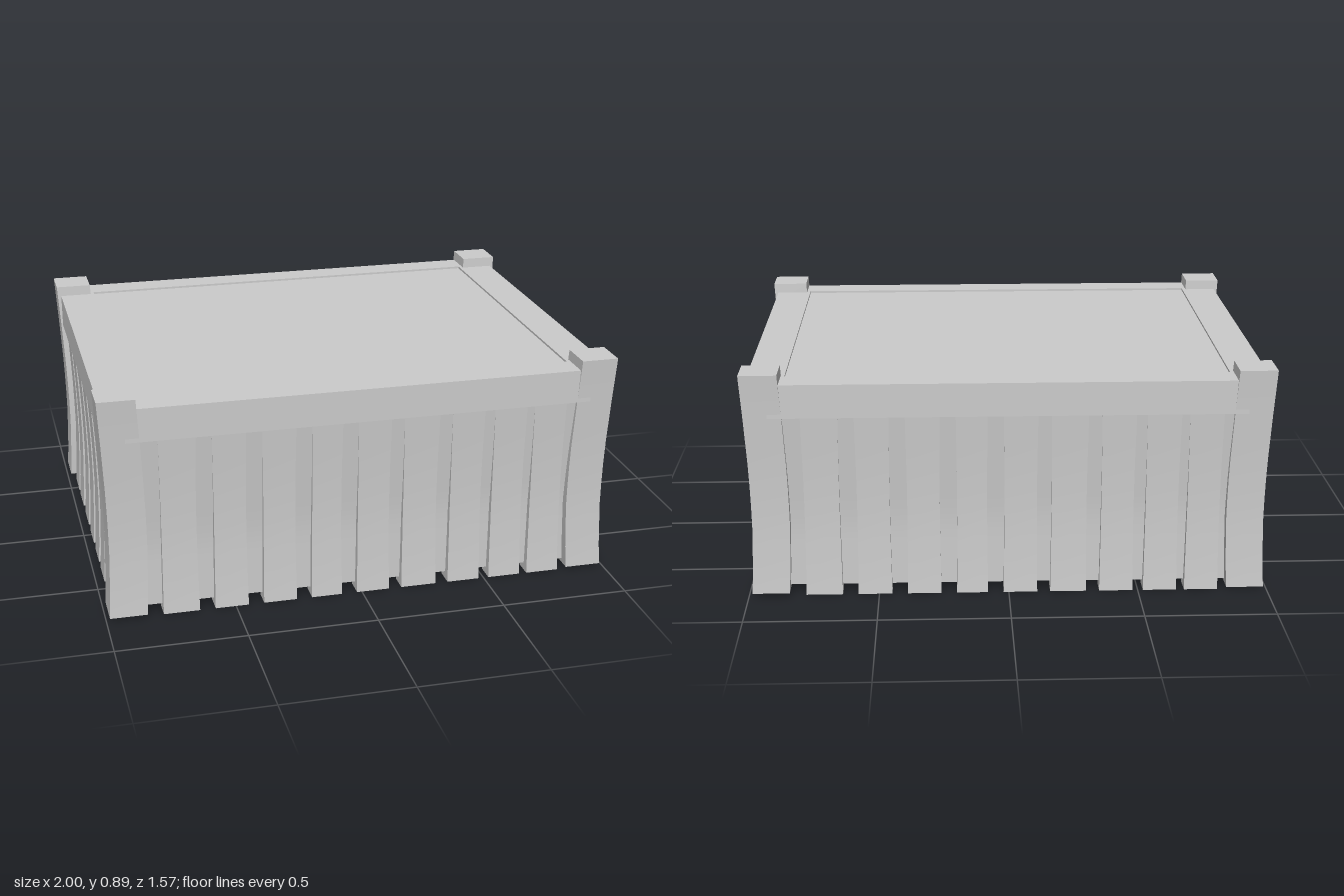
import * as THREE from 'three';

const material = new THREE.MeshStandardMaterial({ color: 0xcccccc });

// Inward bow of posts and planks as a function of height
const BOW = [[0, 0.013], [0.1, 0.019], [0.3, 0.025], [0.5, 0.021], [0.72, 0.01], [0.89, 0]];
function bow(y) {
  for (let i = 1; i < BOW.length; i++) {
    const [y0, b0] = BOW[i - 1], [y1, b1] = BOW[i];
    if (y <= y1) return b0 + (b1 - b0) * Math.max(0, (y - y0) / (y1 - y0));
  }
  return 0;
}

// Box between two corners, with its vertices moved by an optional rule
function block(name, min, max, rule, rows = 8) {
  const g = new THREE.BoxGeometry(max[0] - min[0], max[1] - min[1], max[2] - min[2], 1, rule ? rows : 1, 1);
  g.translate((min[0] + max[0]) / 2, (min[1] + max[1]) / 2, (min[2] + max[2]) / 2);
  if (rule) {
    const p = g.attributes.position, v = new THREE.Vector3();
    for (let i = 0; i < p.count; i++) {
      rule(v.fromBufferAttribute(p, i));
      p.setXYZ(i, v.x, v.y, v.z);
    }
    g.computeVertexNormals();
  }
  const mesh = new THREE.Mesh(g, material);
  mesh.name = name;
  return mesh;
}

// One wall facing +z: a row of bowed planks under a rim beam
function wall(name, planks, out, rimOut, rimIn, halfLength) {
  const group = new THREE.Group();
  group.name = name;
  for (const [a, b] of planks) {
    group.add(block('plank', [a, 0, out - 0.075], [b, 0.74, out], v => {
      const k = bow(v.y);
      v.z -= k;
      // slight sideways waist
      v.x += ((a + b) / 2 - v.x) * 0.05 * Math.sin(Math.PI * v.y / 0.74);
    }));
  }
  group.add(block('rimBeam', [-halfLength, 0.72, rimIn], [halfLength, 0.85, rimOut]));
  return group;
}

export function createModel() {
  const model = new THREE.Group();
  model.name = 'crate';

  // Inner body, flaring out to meet the planks near the top
  model.add(block('body', [-0.933, 0.03, -0.728], [0.933, 0.74, 0.728], v => {
    const flare = 0.037 * Math.max(0, (v.y - 0.3) / 0.42);
    v.x += Math.sign(v.x) * flare;
    v.z += Math.sign(v.z) * flare;
  }));

  // Lid panel set just below the rim
  model.add(block('lidPanel', [-0.85, 0.72, -0.68], [0.85, 0.842, 0.68]));

  // Plank walls; opposite walls are half-turn copies
  const longPlanks = [[-0.78, -0.64], [-0.58, -0.45], [-0.39, -0.26], [-0.2, -0.08], [-0.02, 0.11],
    [0.16, 0.3], [0.35, 0.48], [0.52, 0.65], [0.68, 0.81]];
  const shortPlanks = [[-0.6, -0.47], [-0.43, -0.3], [-0.23, -0.1], [-0.05, 0.08], [0.13, 0.26],
    [0.31, 0.44], [0.48, 0.6]];
  for (const turn of [0, 1]) {
    const long = wall(turn ? 'backWall' : 'frontWall', longPlanks, 0.775, 0.778, 0.668, 0.9);
    long.rotation.y = turn * Math.PI;
    const short = wall(turn ? 'leftWall' : 'rightWall', shortPlanks, 0.98, 0.983, 0.84, 0.7);
    short.name = turn ? 'rightWall' : 'leftWall';
    short.rotation.y = Math.PI / 2 + turn * Math.PI;
    model.add(long, short);
  }

  // Corner posts, bowed towards the middle in both directions
  for (const sx of [-1, 1]) for (const sz of [-1, 1]) {
    const x = [0.857 * sx, sx].sort((a, b) => a - b);
    const z = [0.648 * sz, 0.787 * sz].sort((a, b) => a - b);
    model.add(block('cornerPost', [x[0], 0.012, z[0]], [x[1], 0.89, z[1]], v => {
      const k = bow(v.y);
      v.x -= sx * k;
      v.z -= sz * k;
    }, 10));
  }
  return model;
}
